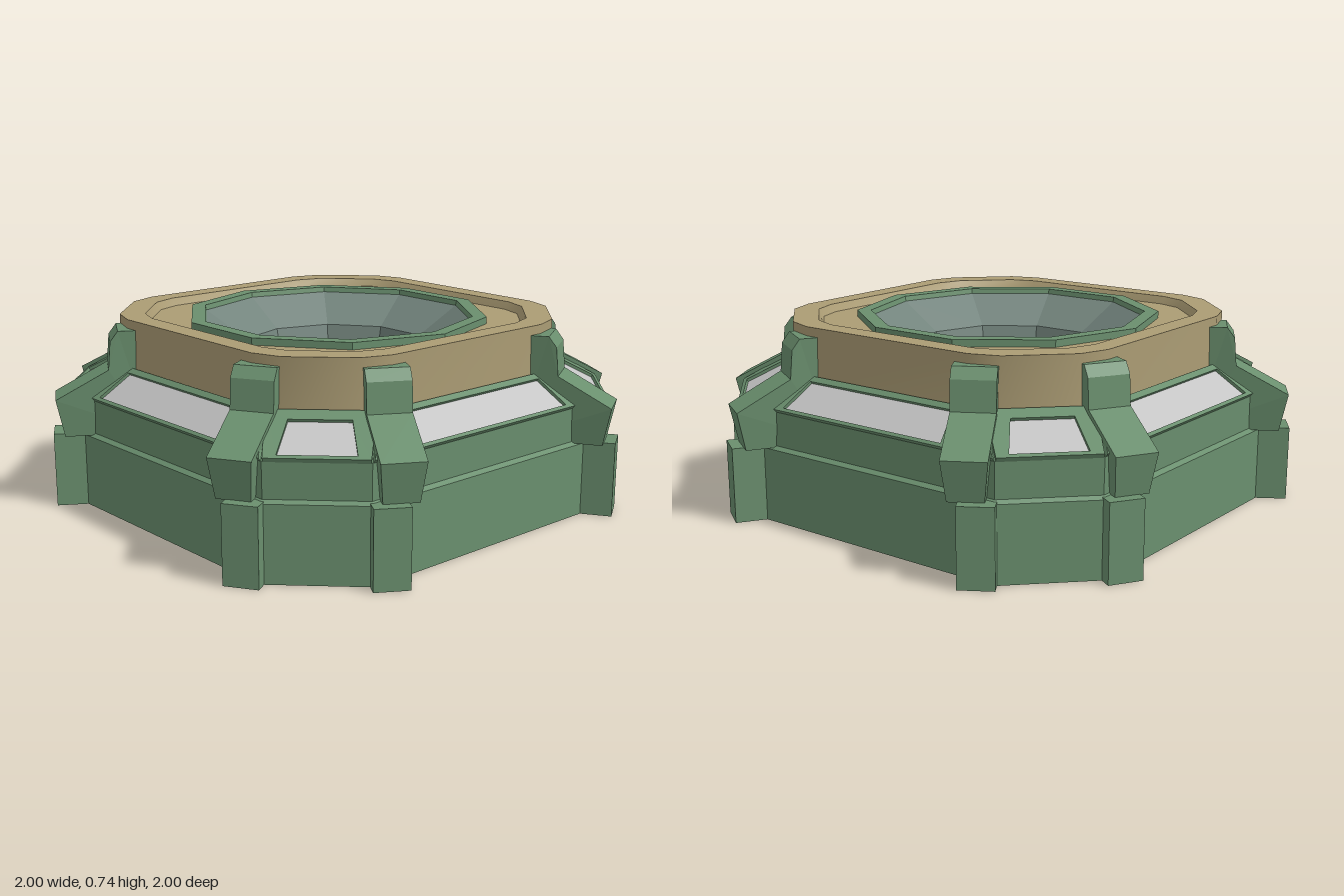
import * as THREE from 'three';
import { toCreasedNormals } from 'three/addons/utils/BufferGeometryUtils.js';

const mat = (name, color) => {
  const m = new THREE.MeshStandardMaterial({ color });
  m.name = name;
  return m;
};

const flat = (geo) => toCreasedNormals(geo, 0.01);

// Joins closed rings { y, pts: [[x, z], ...] } from bottom to top, with an optional bottom cap.
function loft(rings, capBottom) {
  const n = rings[0].pts.length;
  const pos = [], idx = [];
  rings.forEach(({ y, pts }) => pts.forEach(([x, z]) => pos.push(x, y, z)));
  for (let r = 0; r < rings.length - 1; r++) {
    for (let i = 0; i < n; i++) {
      const a = r * n + i, b = r * n + (i + 1) % n;
      idx.push(a, b, b + n, a, b + n, a + n);
    }
  }
  if (capBottom) for (let i = 1; i < n - 1; i++) idx.push(0, i + 1, i);
  const geo = new THREE.BufferGeometry();
  geo.setAttribute('position', new THREE.Float32BufferAttribute(pos, 3));
  geo.setIndex(idx);
  return geo;
}

// Repeats one corner's points around the four quarters.
function quarters(corner) {
  const pts = [];
  for (let q = 0; q < 4; q++) {
    for (let [x, z] of corner) {
      for (let k = 0; k < q; k++) [x, z] = [z, -x];
      pts.push([x, z]);
    }
  }
  return pts;
}

// Octagon from the distance of its straight sides and of its diagonal sides.
function octagon(side, diag) {
  const c = diag * Math.SQRT2 - side;
  return quarters([[c, side], [side, c]]);
}

const polygon = (pts, Type = THREE.Shape) => new Type(pts.map(([x, y]) => new THREE.Vector2(x, y)));
const lathe = (pts) => flat(new THREE.LatheGeometry(pts.map(([x, y]) => new THREE.Vector2(x, y)), 10));

export function createModel() {
  const green = mat('green armour', 0x6a8f6e);
  const tan = mat('tan collar', 0xab9c74);
  const grey = mat('grey bowl', 0x73847d);
  const silver = mat('silver panel', 0xc4c4c4);

  const model = new THREE.Group();
  const add = (name, geo, material, parent = model) => {
    const mesh = new THREE.Mesh(geo, material);
    mesh.name = name;
    parent.add(mesh);
    return mesh;
  };

  // Eight-sided base with a small ledge and a sloped shoulder
  add('base', flat(loft([
    { y: 0, pts: octagon(0.885, 1.06) },
    { y: 0.285, pts: octagon(0.885, 1.06) },
    { y: 0.297, pts: octagon(0.868, 1.045) },
    { y: 0.43, pts: octagon(0.872, 1.05) },
    { y: 0.53, pts: octagon(0.725, 0.835) },
  ], true)), green);

  // Shoulder frames with inset panels: bottom and top distance, half widths, window
  const sideBay = { d0: 0.87, d1: 0.73, w0: 0.61, w1: 0.46, p0: 0.38, p1: 0.345, v0: 0.08, v1: 0.86 };
  const diagBay = { d0: 1.05, d1: 0.84, w0: 0.18, w1: 0.19, p0: 0.135, p1: 0.11, v0: 0.07, v1: 0.79 };
  for (let i = 0; i < 8; i++) {
    const b = i % 2 ? diagBay : sideBay;
    const rise = 0.11, run = b.d0 - b.d1, len = Math.hypot(run, rise);
    const win = [[-b.p0, b.v0 * len], [b.p0, b.v0 * len], [b.p1, b.v1 * len], [-b.p1, b.v1 * len]];
    const shape = polygon([[-b.w0, 0], [b.w0, 0], [b.w1, len], [-b.w1, len]]);
    shape.holes.push(polygon(win, THREE.Path));

    const bay = new THREE.Group();
    bay.name = 'shoulderBay';
    bay.rotation.y = i * Math.PI / 4;
    const slope = new THREE.Group();
    slope.name = 'shoulderSlope';
    slope.position.set(0, 0.428, b.d0);
    slope.rotation.x = -Math.atan2(run, rise);
    bay.add(slope);
    add('panelFrame', new THREE.ExtrudeGeometry(shape, { depth: 0.018, bevelEnabled: false }), green, slope);
    add('panel', new THREE.ShapeGeometry(polygon(win)), silver, slope).position.z = 0.006;
    model.add(bay);
  }

  // Buttresses beside each diagonal side
  const profile = polygon([
    [0.75, 0.29], [1.08, 0.29], [1.11, 0.44], [0.905, 0.55], [0.895, 0.66], [0.865, 0.7], [0.75, 0.7],
  ]);
  const buttressGeo = new THREE.ExtrudeGeometry(profile, { depth: 0.16, bevelEnabled: false });
  buttressGeo.translate(0, 0, -0.08);
  const p = buttressGeo.attributes.position;
  for (let i = 0; i < p.count; i++) if (p.getY(i) < 0.3) p.setZ(i, p.getZ(i) * 0.8);
  const buttress = flat(buttressGeo);
  const foot = new THREE.BoxGeometry(0.3, 0.292, 0.13).translate(0.973, 0.146, 0);
  for (let q = 0; q < 4; q++) {
    for (const s of [-1, 1]) {
      const at = (deg) => THREE.MathUtils.degToRad(q * 90 + 45 + s * deg);
      add('buttress', buttress, green).rotation.y = at(15);
      add('buttressFoot', foot, green).rotation.y = at(13);
    }
  }

  // Collar with bevelled corners and a shallow recess in its top
  const outline = quarters([[0.385, 0.73], [0.5, 0.69], [0.69, 0.5], [0.73, 0.385]]);
  const scaled = (k) => outline.map(([x, z]) => [x * k, z * k]);
  add('collar', toCreasedNormals(loft([
    { y: 0.5, pts: outline },
    { y: 0.735, pts: outline },
    { y: 0.735, pts: scaled(0.884) },
    { y: 0.705, pts: scaled(0.863) },
  ]), 0.6), tan);

  const floor = polygon(scaled(0.87).map(([x, z]) => [x, -z]));
  floor.holes.push(new THREE.Path().absarc(0, 0, 0.565, 0, Math.PI * 2, true));
  add('collarFloor', new THREE.ShapeGeometry(floor, 24).rotateX(-Math.PI / 2).translate(0, 0.705, 0), tan);

  // Ten-sided ring and stepped bowl
  add('bowlRing', lathe([[0.6, 0.68], [0.6, 0.732], [0.545, 0.732], [0.54, 0.71]]), green);
  add('bowl', lathe([
    [0.545, 0.715], [0.375, 0.6], [0.348, 0.485], [0.21, 0.445], [0.195, 0.41], [0, 0.41],
  ]), grey);

  return model;
}
